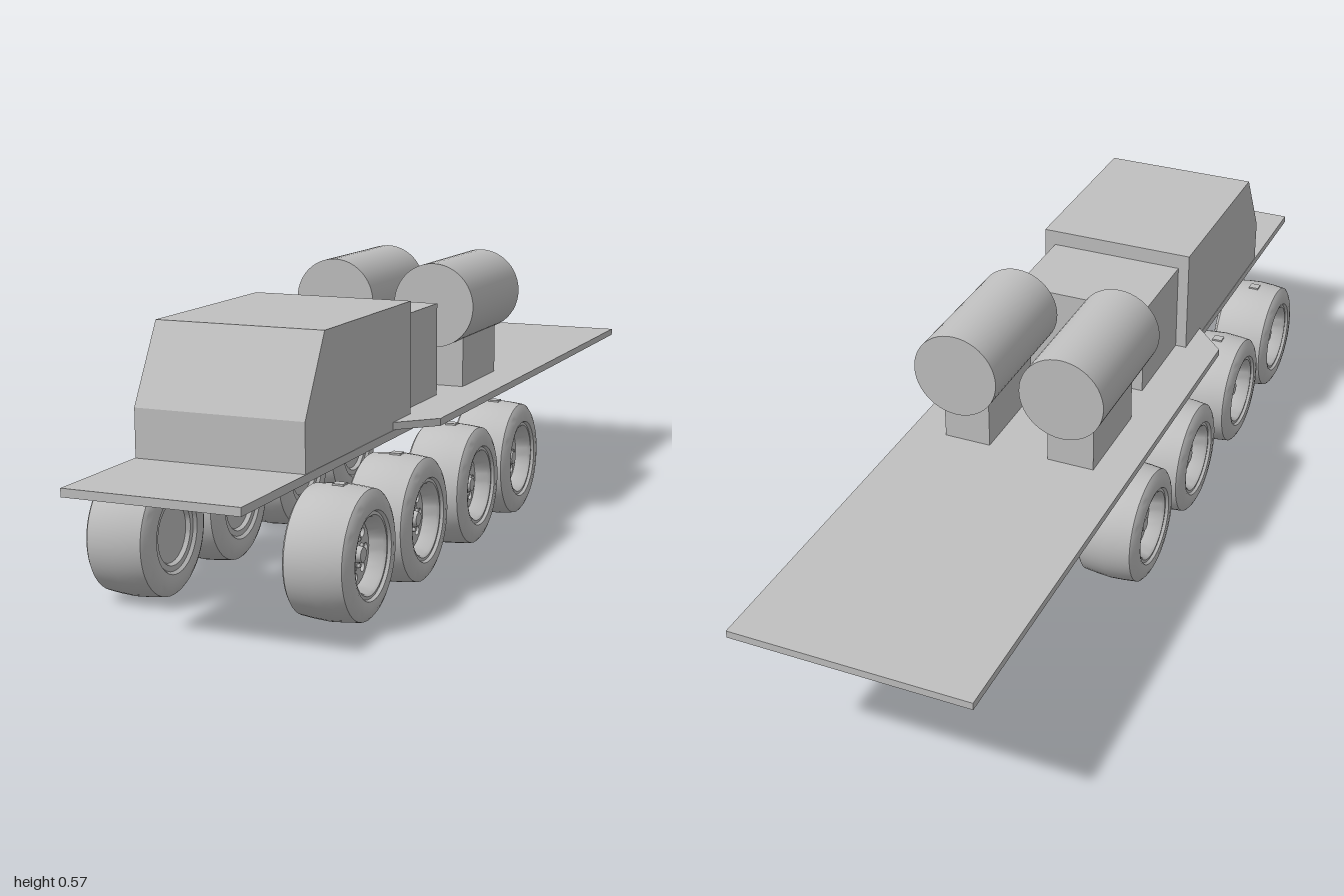
import * as THREE from 'three';
import { toCreasedNormals } from 'three/addons/utils/BufferGeometryUtils.js';

export function createModel() {
  const model = new THREE.Group();
  const grey = new THREE.MeshStandardMaterial({ color: 0xc0c0c0 });
  grey.name = 'plain grey';

  const add = (name, geometry, parent = model) => {
    const mesh = new THREE.Mesh(geometry, grey);
    mesh.name = name;
    parent.add(mesh);
    return mesh;
  };
  // box given by its limits on each axis
  const box = (name, x0, x1, y0, y1, z0, z1) => add(name,
    new THREE.BoxGeometry(x1 - x0, y1 - y0, z1 - z0)
      .translate((x0 + x1) / 2, (y0 + y1) / 2, (z0 + z1) / 2));
  const polygon = pts => new THREE.Shape(pts.map(p => new THREE.Vector2(...p)));

  // lower chassis plate
  box('chassisPlate', -0.172, 0.172, 0.27, 0.286, -0.375, 1);

  // long deck with chamfered front corners, drawn in plan (x, -z)
  const deck = polygon([[-0.243, 1], [-0.243, -0.27], [-0.17, -0.345],
    [0.17, -0.345], [0.243, -0.27], [0.243, 1]]);
  add('deck', new THREE.ExtrudeGeometry(deck, { depth: 0.015, bevelEnabled: false })
    .rotateX(-Math.PI / 2).translate(0, 0.287, 0));

  // cab, drawn in side profile (-z, y)
  const cab = polygon([[-0.75, 0.285], [-0.25, 0.285], [-0.25, 0.53],
    [-0.665, 0.53], [-0.75, 0.38]]);
  add('cab', new THREE.ExtrudeGeometry(cab, { depth: 0.342, bevelEnabled: false })
    .translate(0, 0, -0.171).rotateY(Math.PI / 2));
  box('rearCabin', -0.147, 0.147, 0.3, 0.497, 0.04, 0.25);

  // twin tanks on pedestals
  for (const s of [-1, 1]) {
    box('tankPedestal', s * 0.115 - 0.05, s * 0.115 + 0.05, 0.3, 0.42, -0.28, -0.07);
    const tank = new THREE.CylinderGeometry(0.09, 0.09, 0.307, 48).rotateX(Math.PI / 2);
    add('tank', tank).position.set(s * 0.115, 0.483, -0.174);
  }

  // tyre and rim barrel: [radius, offset], inner side to outer side
  const tyreProfile = [
    [0, -0.052], [0.058, -0.052], [0.062, -0.06], [0.073, -0.06], [0.078, -0.066],
    [0.09, -0.068], [0.104, -0.066], [0.115, -0.061], [0.121, -0.056],
    [0.124, -0.03], [0.126, 0], [0.124, 0.03],
    [0.121, 0.056], [0.115, 0.061], [0.104, 0.066], [0.09, 0.068], [0.083, 0.066],
    [0.08, 0.06], [0.074, 0.061], [0.07, 0.056], [0.064, 0.03], [0.06, 0.018], [0, 0.018],
  ].map(p => new THREE.Vector2(...p));
  const tyreGeo = toCreasedNormals(
    new THREE.LatheGeometry(tyreProfile, 48).rotateZ(-Math.PI / 2), 0.5);

  // wheel disc with a ring of round holes
  const discShape = new THREE.Shape().absarc(0, 0, 0.062, 0, Math.PI * 2);
  for (let i = 0; i < 8; i++) {
    const a = (i / 8) * Math.PI * 2;
    discShape.holes.push(new THREE.Path().absarc(
      Math.cos(a) * 0.046, Math.sin(a) * 0.046, 0.009, 0, Math.PI * 2, true));
  }
  const discGeo = new THREE.ExtrudeGeometry(discShape,
    { depth: 0.012, bevelEnabled: false, curveSegments: 12 })
    .rotateY(Math.PI / 2).translate(0.018, 0, 0);
  const hubGeo = new THREE.CylinderGeometry(0.014, 0.017, 0.016, 24)
    .rotateZ(-Math.PI / 2).translate(0.038, 0, 0);
  const boltGeo = new THREE.CylinderGeometry(0.004, 0.004, 0.008, 6)
    .rotateZ(-Math.PI / 2);
  const treadGeo = new THREE.BoxGeometry(0.022, 0.006, 0.02).translate(0, 0.1255, 0);

  // four axles, mirrored left and right, outer face pointing outwards
  for (const z of [0.667, 0.395, 0.089, -0.185]) {
    for (const s of [-1, 1]) {
      const wheel = new THREE.Group();
      wheel.name = s > 0 ? 'leftWheel' : 'rightWheel';
      add('tyre', tyreGeo, wheel);
      add('wheelDisc', discGeo, wheel);
      add('hub', hubGeo, wheel);
      add('treadBlock', treadGeo, wheel);
      for (let i = 0; i < 8; i++) {
        const a = ((i + 0.5) / 8) * Math.PI * 2;
        add('bolt', boltGeo, wheel).position.set(0.032, Math.sin(a) * 0.027, Math.cos(a) * 0.027);
      }
      wheel.position.set(s * 0.2, 0.127, z);
      wheel.rotation.y = s > 0 ? 0 : Math.PI;
      model.add(wheel);
    }
  }
  return model;
}
